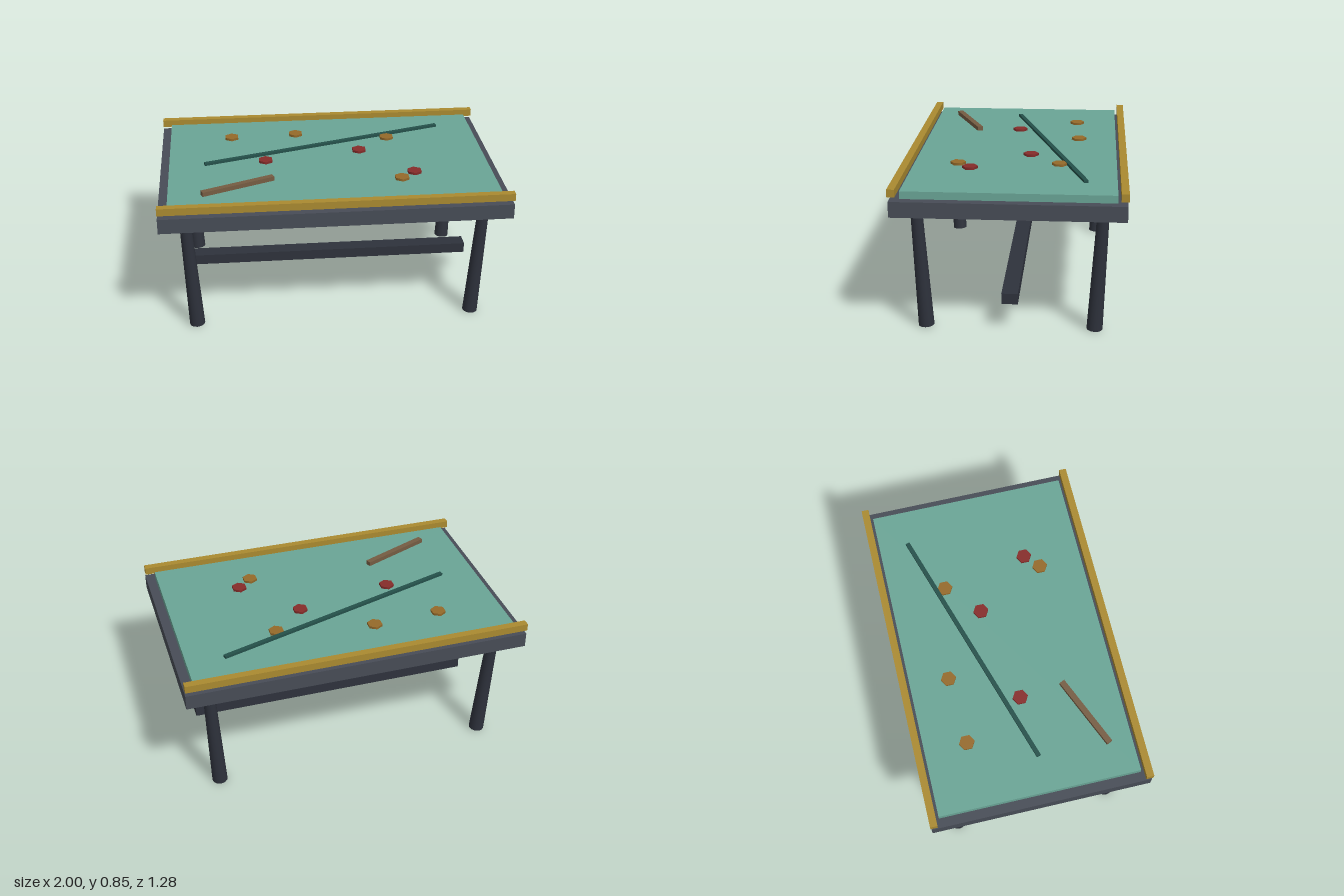
import * as THREE from 'three';

const paint = (color) => new THREE.MeshStandardMaterial({ color });

export function createModel() {
  const table = new THREE.Group();
  table.name = 'gameTable';

  const mats = {
    slab: paint(0x474c56), leg: paint(0x2e323c), felt: paint(0x6aa596), rail: paint(0xaa8a30),
    gold: paint(0x956a2a), red: paint(0x862c2a), cue: paint(0x24504a), wood: paint(0x755c42),
  };

  function add(name, geometry, material, x, y, z) {
    const mesh = new THREE.Mesh(geometry, material);
    mesh.name = name;
    mesh.position.set(x, y, z);
    table.add(mesh);
    return mesh;
  }
  const box = (name, w, h, d, material, x, y, z) =>
    add(name, new THREE.BoxGeometry(w, h, d), material, x, y, z);

  // Table top and playing surface
  box('tableTop', 2, 0.088, 1.272, mats.slab, 0, 0.742, 0);
  box('playingSurface', 1.892, 0.043, 1.166, mats.felt, 0, 0.8075, 0);

  // Long rails, overhanging the playing surface's sides
  for (const s of [1, -1]) {
    box(s > 0 ? 'frontRail' : 'backRail', 2, 0.043, 0.042, mats.rail, 0, 0.833, s * 0.62);
  }

  // Legs: taper towards the top and splay outwards as they rise
  const legGeometry = new THREE.CylinderGeometry(0.033, 0.045, 0.71, 12);
  for (const sx of [1, -1]) {
    for (const sz of [1, -1]) {
      const name = (sz > 0 ? 'front' : 'back') + (sx > 0 ? 'Left' : 'Right') + 'Leg';
      const leg = add(name, legGeometry, mats.leg, sx * 0.836, 0.359, sz * 0.491);
      leg.rotation.set(sz * 0.05, 0, -sx * 0.05);
    }
  }

  // Stretcher bar between the leg pairs
  box('stretcher', 1.72, 0.062, 0.092, mats.leg, 0, 0.187, 0);

  // Long cue and short wooden bar lying on the surface
  box('cue', 1.535, 0.015, 0.025, mats.cue, -0.003, 0.8365, -0.185).rotation.y = 0.3;
  box('woodenBar', 0.447, 0.026, 0.034, mats.wood, -0.547, 0.843, 0.362).rotation.y = 0.4;

  // Hexagonal pieces
  const pieceGeometry = new THREE.CylinderGeometry(0.045, 0.045, 0.014, 6);
  const pieces = {
    gold: [[-0.567, -0.337], [-0.169, -0.356], [0.392, -0.255], [0.404, 0.328]],
    red: [[-0.373, 0.021], [0.2, -0.08], [0.489, 0.251]],
  };
  for (const [color, spots] of Object.entries(pieces)) {
    spots.forEach(([x, z], i) => add(`${color}Piece${i + 1}`, pieceGeometry, mats[color], x, 0.836, z));
  }

  return table;
}
